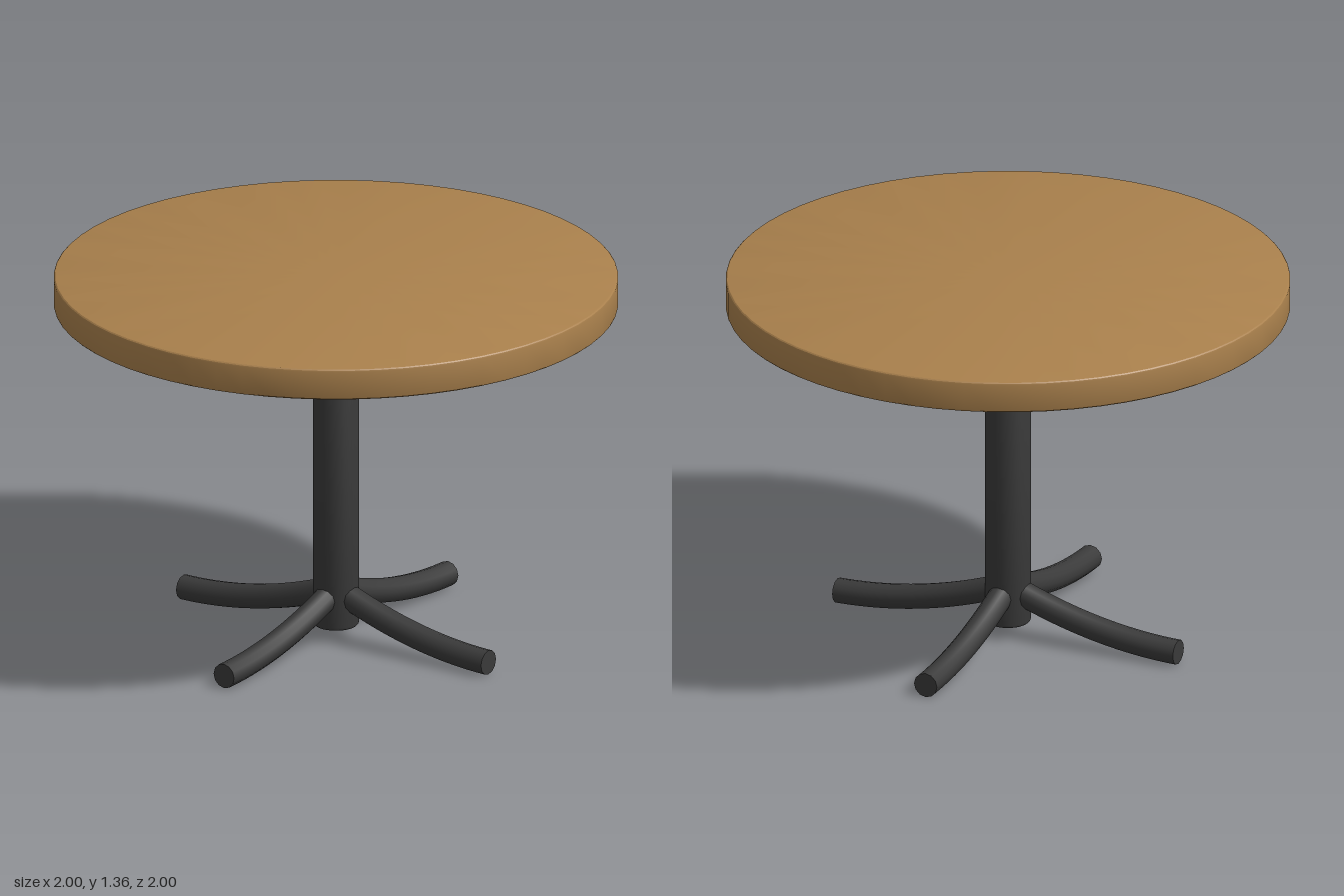
import * as THREE from 'three';
import { toCreasedNormals } from 'three/addons/utils/BufferGeometryUtils.js';

// Solid disc or post with a small rounded edge, profile running bottom to top
function roundedCylinder(radius, y0, y1, bevel, segments) {
  const points = [new THREE.Vector2(0, y0)];
  const steps = 3;
  for (const [cy, start] of [[y0 + bevel, -Math.PI / 2], [y1 - bevel, 0]]) {
    for (let i = 0; i <= steps; i++) {
      const a = start + (i / steps) * Math.PI / 2;
      points.push(new THREE.Vector2(radius - bevel + Math.cos(a) * bevel, cy + Math.sin(a) * bevel));
    }
  }
  points.push(new THREE.Vector2(0, y1));
  return toCreasedNormals(new THREE.LatheGeometry(points, segments), 0.5);
}

export function createModel() {
  const table = new THREE.Group();
  table.name = 'pedestalTable';

  const wood = new THREE.MeshStandardMaterial({ color: 0xa9804c });
  wood.name = 'warm wood';
  const metal = new THREE.MeshStandardMaterial({ color: 0x3a3a3a });
  metal.name = 'dark metal';

  const add = (name, geometry, material, parent = table) => {
    const mesh = new THREE.Mesh(geometry, material);
    mesh.name = name;
    parent.add(mesh);
    return mesh;
  };

  // Round top and central post
  add('tableTop', roundedCylinder(1, 1.25, 1.365, 0.01, 64), wood);
  add('column', roundedCylinder(0.082, 0.05, 1.23, 0.014, 32), metal);

  // Four curved tube feet with flat ends
  const footRadius = 0.045;
  const path = new THREE.QuadraticBezierCurve3(
    new THREE.Vector3(0.05, 0.168, 0),
    new THREE.Vector3(0.36, 0.05, 0),
    new THREE.Vector3(0.67, 0.048, 0)
  );
  const tube = new THREE.TubeGeometry(path, 20, footRadius, 12, false);
  const cap = new THREE.CircleGeometry(footRadius, 12);
  for (let i = 0; i < 4; i++) {
    const foot = new THREE.Group();
    foot.name = 'foot' + (i + 1);
    foot.rotation.y = i * Math.PI / 2;
    add('footTube', tube, metal, foot);
    for (const [name, t, sign] of [['innerCap', 0, -1], ['outerCap', 1, 1]]) {
      const end = add(name, cap, metal, foot);
      const outward = path.getTangentAt(t).multiplyScalar(sign);
      end.position.copy(path.getPointAt(t));
      end.quaternion.setFromUnitVectors(new THREE.Vector3(0, 0, 1), outward);
    }
    table.add(foot);
  }
  return table;
}
